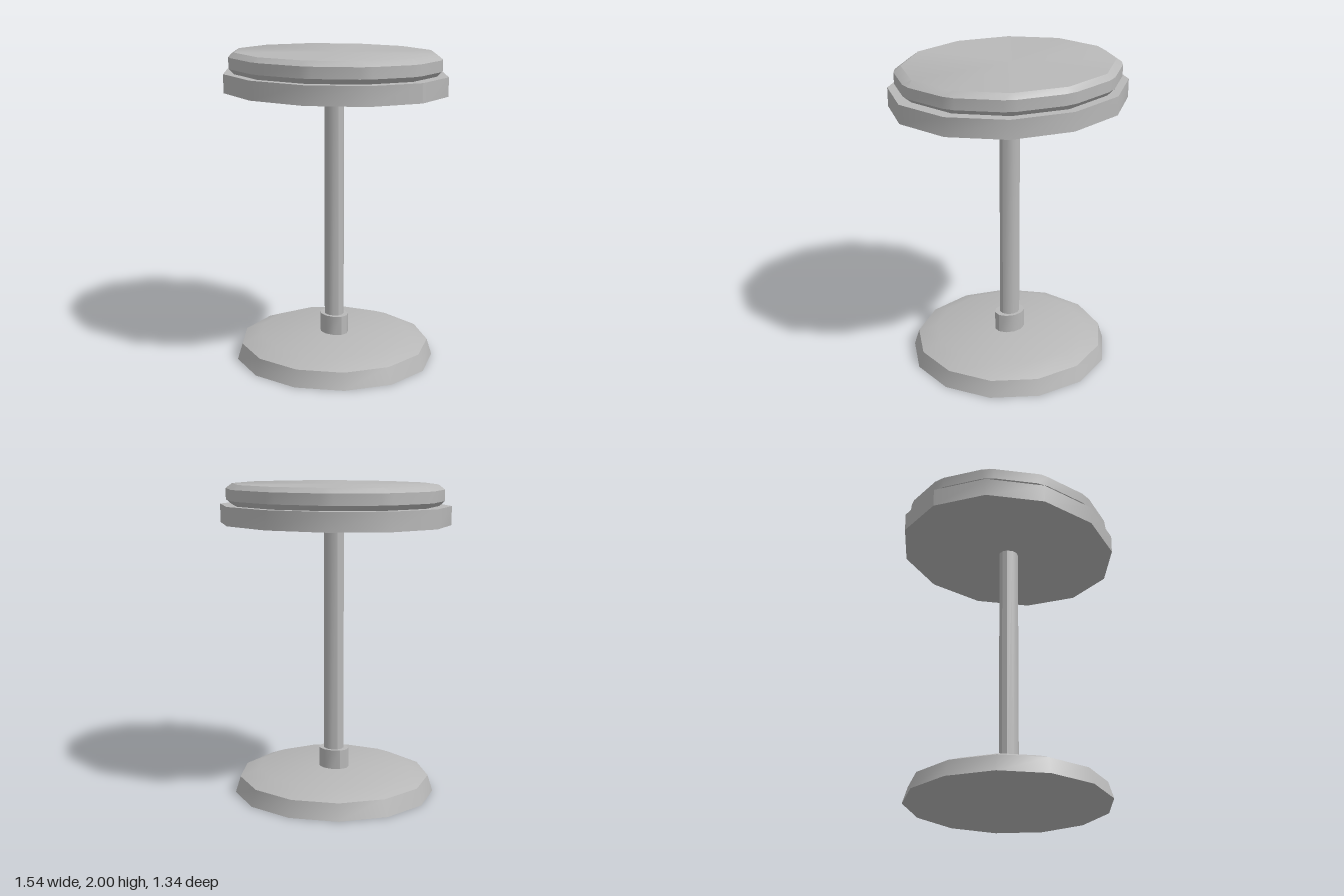
import * as THREE from 'three';
import { toCreasedNormals } from 'three/addons/utils/BufferGeometryUtils.js';

const grey = new THREE.MeshStandardMaterial({ color: 0xb8b8b8 });
grey.name = 'plain grey';

// Elliptical ring of points; split > 0 cuts each corner into two points
function ring(sides, startDegrees, rx, rz, y, split) {
  const corner = (i) => {
    const a = THREE.MathUtils.degToRad(startDegrees) + (i / sides) * Math.PI * 2;
    return new THREE.Vector3(rx * Math.cos(a), y, rz * Math.sin(a));
  };
  const points = [];
  for (let i = 0; i < sides; i++) {
    const c = corner(i);
    if (split === undefined) points.push(c);
    else points.push(c.clone().lerp(corner(i - 1), split), c.clone().lerp(corner(i + 1), split));
  }
  return points;
}

// Closed solid through a stack of rings, listed from bottom to top
function loft(name, rings) {
  const n = rings[0].length;
  const positions = [];
  const index = [];
  for (const r of rings) for (const p of r) positions.push(p.x, p.y, p.z);
  const last = (rings.length - 1) * n;
  positions.push(0, rings[0][0].y, 0, 0, rings[rings.length - 1][0].y, 0);
  const bottom = last + n;
  for (let i = 0; i < n; i++) {
    const j = (i + 1) % n;
    for (let k = 0; k < last; k += n) {
      index.push(k + i, k + n + i, k + j, k + j, k + n + i, k + n + j);
    }
    index.push(bottom, i, j, bottom + 1, last + j, last + i);
  }
  const geometry = new THREE.BufferGeometry();
  geometry.setAttribute('position', new THREE.Float32BufferAttribute(positions, 3));
  geometry.setIndex(index);
  const mesh = new THREE.Mesh(toCreasedNormals(geometry, 0.58), grey);
  mesh.name = name;
  return mesh;
}

export function createModel() {
  const stool = new THREE.Group();
  stool.name = 'stool';

  // Weighted foot with a sloping shoulder
  const foot = [[0.658, 0.64, 0], [0.625, 0.608, 0.105], [0.5, 0.485, 0.155]];
  stool.add(loft('base', foot.map(([rx, rz, y]) => ring(13, 8.5, rx, rz, y))));

  // Collar and post
  const tube = (name, rx, rz, y0, y1) =>
    loft(name, [y0, y1].map((y) => ring(11, 180, rx, rz, y)));
  stool.add(tube('collar', 0.104, 0.083, 0.15, 0.28));
  stool.add(tube('post', 0.067, 0.061, 0.15, 1.76));

  // Seat board
  stool.add(loft('seatBoard', [1.75, 1.868].map((y) => ring(12, -0.9, 0.77, 0.67, y))));

  // Cushion with bevelled rims and cut corners
  const pad = [
    [0.68, 0.605, 1.862, 0], [0.733, 0.642, 1.9, 0.11],
    [0.733, 0.642, 1.97, 0.11], [0.68, 0.605, 2, 0],
  ];
  stool.add(loft('cushion', pad.map(([rx, rz, y, split]) => ring(12, -0.9, rx, rz, y, split))));

  return stool;
}
